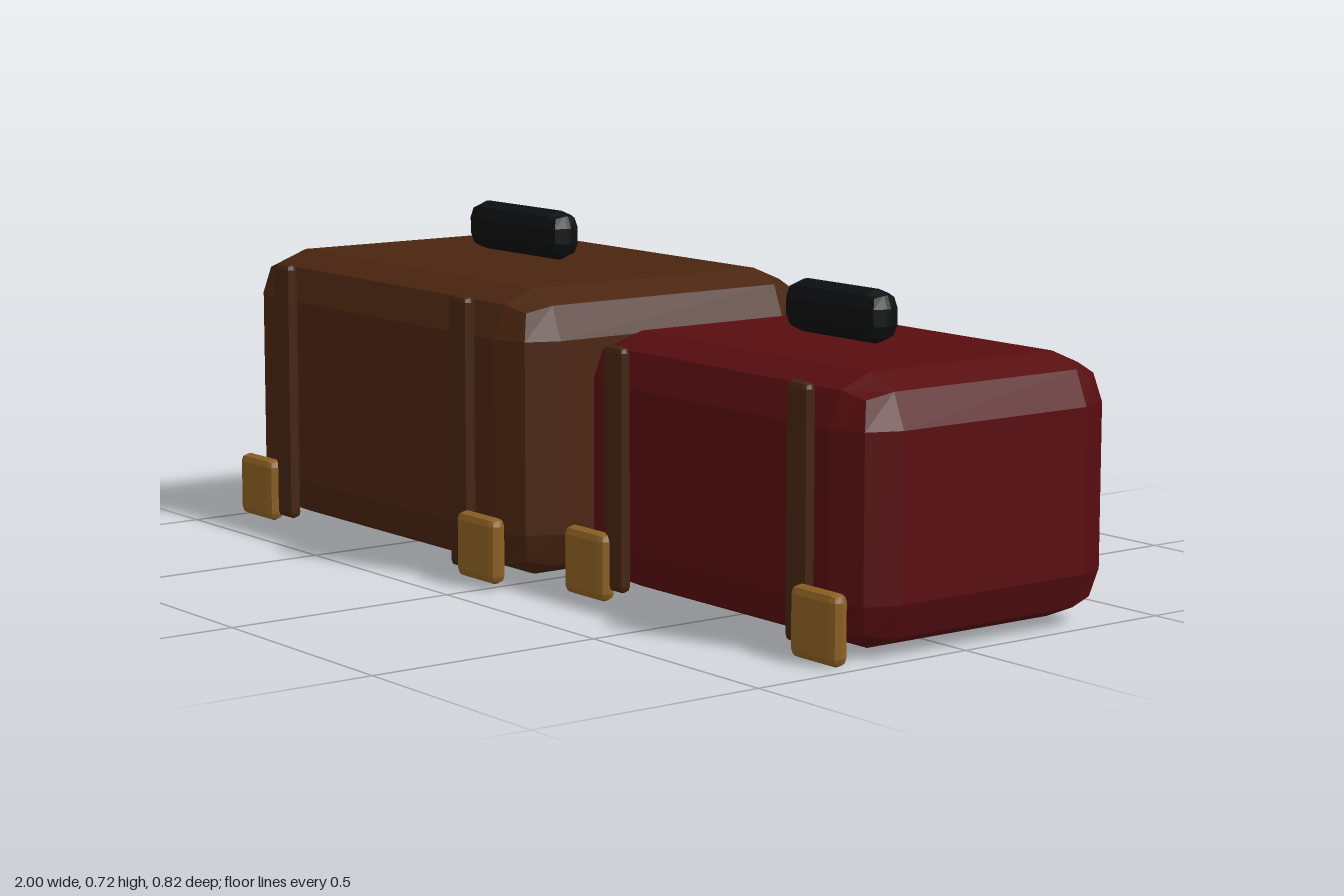
import * as THREE from 'three';
import { RoundedBoxGeometry } from 'three/addons/geometries/RoundedBoxGeometry.js';

const material = (name, color) => {
  const m = new THREE.MeshStandardMaterial({ color });
  m.name = name;
  return m;
};

// Faceted box with two-step bevels, placed by its extents on each axis
function bevelBox(name, mat, [x0, x1], [y0, y1], [z0, z1], radius) {
  const geometry = new RoundedBoxGeometry(x1 - x0, y1 - y0, z1 - z0, 1, radius);
  geometry.computeVertexNormals(); // non-indexed, so every facet is flat
  const mesh = new THREE.Mesh(geometry, mat);
  mesh.name = name;
  mesh.position.set((x0 + x1) / 2, (y0 + y1) / 2, (z0 + z1) / 2);
  return mesh;
}

export function createModel() {
  const brown = material('brown leather', 0x4a2510);
  const red = material('dark red leather', 0x580d10);
  const strapBrown = material('strap leather', 0x432410);
  const brass = material('brass', 0x8c6024);
  const black = material('black handle', 0x0e0f10);

  const cases = [
    {
      name: 'largeSuitcase', mat: brown,
      x: [-1, 0.07], y: [0.012, 0.605], z: [-0.41, 0.363],
      handle: [[-0.635, -0.295], [0.615, 0.72], [-0.061, 0.02]],
      straps: [-0.808, -0.122], strapY: [0.025, 0.59], strapZ: [0.361, 0.391],
      corners: [-0.895, -0.035], cornerY: [0.014, 0.151], cornerZ: [0.373, 0.411],
    },
    {
      name: 'smallSuitcase', mat: red,
      x: [0.105, 1], y: [0.012, 0.535], z: [-0.4, 0.258],
      handle: [[0.405, 0.692], [0.541, 0.647], [-0.11, -0.028]],
      straps: [0.265, 0.835], strapY: [0.025, 0.521], strapZ: [0.255, 0.283],
      corners: [0.19, 0.908], cornerY: [0.003, 0.143], cornerZ: [0.264, 0.302],
    },
  ];

  const group = new THREE.Group();
  group.name = 'luggage';
  for (const c of cases) {
    const suitcase = new THREE.Group();
    suitcase.name = c.name;
    suitcase.add(bevelBox('body', c.mat, c.x, c.y, c.z, 0.098));
    suitcase.add(bevelBox('handle', black, ...c.handle, 0.036));
    // Front straps and the brass plates at the lower corners
    for (const x of c.straps)
      suitcase.add(bevelBox('strap', strapBrown, [x - 0.032, x + 0.032], c.strapY, c.strapZ, 0.013));
    for (const x of c.corners)
      suitcase.add(bevelBox('cornerPlate', brass, [x - 0.068, x + 0.068], c.cornerY, c.cornerZ, 0.017));
    group.add(suitcase);
  }
  return group;
}
